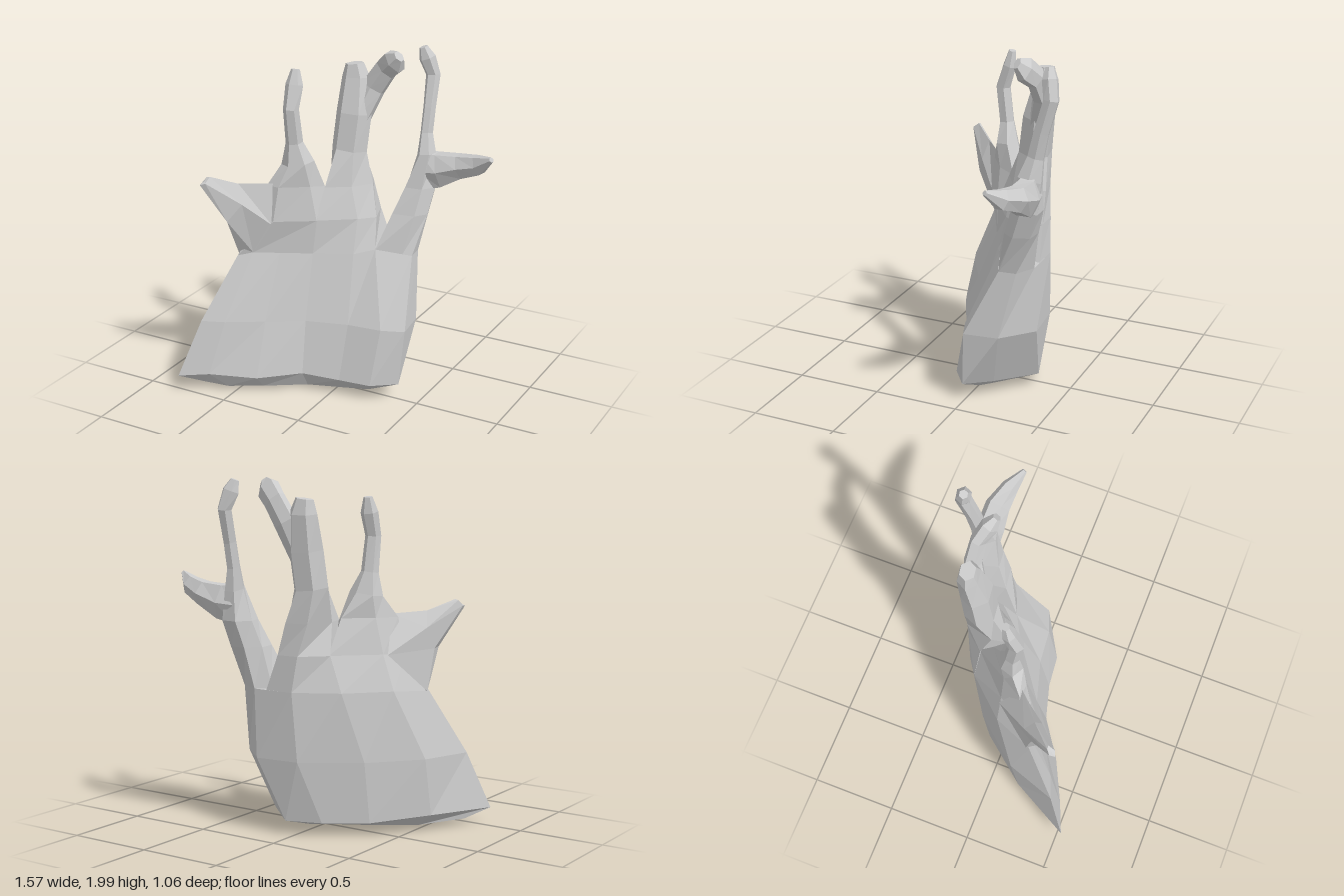
import * as THREE from 'three';

const material = new THREE.MeshStandardMaterial({ color: 0xcccccc, flatShading: true });

// Closed skin over rings of [x, y, z] points, counter-clockwise seen from the far end
function loft(name, rings) {
  const n = rings[0].length;
  const positions = rings.flat(2);
  const index = [];
  rings.slice(1).forEach((_, r) => {
    for (let i = 0; i < n; i++) {
      const a = r * n + i, b = r * n + (i + 1) % n;
      index.push(a, b, b + n, a, b + n, a + n);
    }
  });
  // End caps as fans around the ring centres
  [[0, true], [rings.length - 1, false]].forEach(([r, flip]) => {
    const centre = positions.length / 3;
    for (let k = 0; k < 3; k++) positions.push(rings[r].reduce((s, p) => s + p[k], 0) / n);
    for (let i = 0; i < n; i++) {
      const a = r * n + i, b = r * n + (i + 1) % n;
      index.push(centre, flip ? b : a, flip ? a : b);
    }
  });
  const indexed = new THREE.BufferGeometry();
  indexed.setAttribute('position', new THREE.Float32BufferAttribute(positions, 3));
  indexed.setIndex(index);
  const geometry = indexed.toNonIndexed();
  geometry.computeVertexNormals();
  const mesh = new THREE.Mesh(geometry, material);
  mesh.name = name;
  return mesh;
}

// Six-sided rings square to a path of stations [x, y, z, halfWidth, halfDepth]; hint is the width direction
function limbRings(stations, hint) {
  const points = stations.map(([x, y, z]) => new THREE.Vector3(x, y, z));
  const last = points.length - 1;
  return stations.map(([, , , w, d], i) => {
    const t = points[Math.min(i + 1, last)].clone().sub(points[Math.max(i - 1, 0)]).normalize();
    const wide = new THREE.Vector3(...hint);
    wide.addScaledVector(t, -wide.dot(t)).normalize();
    const deep = wide.clone().cross(t);
    return Array.from({ length: 6 }, (_, k) => {
      const a = (k / 6) * Math.PI * 2;
      return points[i].clone()
        .addScaledVector(wide, w * Math.cos(a))
        .addScaledVector(deep, -d * Math.sin(a)).toArray();
    });
  });
}

// Horizontal ring from [x, z] pairs, with an optional own height per point
const level = (y, pairs) => pairs.map(([x, z, own = y]) => [x, own, z]);

export function createModel() {
  const group = new THREE.Group();

  // Curved slab: front edge from left to right, then back again behind
  group.add(loft('trunk', [
    level(0.02, [[-0.68, 0.42, 0.04], [-0.55, 0.37], [-0.37, 0.27], [-0.15, 0.13], [0.06, 0.04, 0.01], [0.2, 0.03, 0.03],
      [0.25, -0.04, 0.04], [0.2, -0.09, 0.04], [0.06, -0.06, 0], [-0.08, -0.05, 0.02], [-0.28, 0.06], [-0.5, 0.22]]),
    level(0.1, [[-0.79, 0.53], [-0.62, 0.46, 0.12], [-0.37, 0.34], [-0.15, 0.19, 0.12], [0.06, 0.13], [0.25, 0.11],
      [0.385, 0.01], [0.26, -0.13, 0.09], [0.05, -0.32, 0.08], [-0.15, -0.25, 0.08], [-0.37, -0.1, 0.08], [-0.6, 0.18]]),
    level(0.43, [[-0.69, 0.42], [-0.56, 0.37], [-0.36, 0.25], [-0.16, 0.13], [0.08, 0.06], [0.28, 0.04],
      [0.41, -0.01], [0.385, -0.21], [0.21, -0.37], [-0.05, -0.345], [-0.36, -0.14], [-0.59, 0.13]]),
    level(0.82, [[-0.55, 0.23, 0.8], [-0.47, 0.19], [-0.33, 0.12], [-0.16, 0.04], [0.05, -0.06], [0.16, -0.12, 0.85],
      [0.355, -0.2], [0.345, -0.3], [0.23, -0.36], [-0.02, -0.355], [-0.26, -0.22], [-0.46, 0]]),
  ]));

  // Pointed spike at the outer end
  group.add(loft('sideSpike', [
    [[-0.47, 0.82, 0.19], [-0.36, 1.0, 0.16], [-0.37, 1.235, 0.12], [-0.42, 1.02, 0], [-0.55, 0.8, 0.21]],
    [[-0.55, 1.04, 0.33], [-0.48, 1.14, 0.28], [-0.52, 1.25, 0.25], [-0.55, 1.16, 0.2], [-0.57, 1.04, 0.25]],
    [[-0.665, 1.27, 0.42], [-0.635, 1.28, 0.41], [-0.63, 1.31, 0.37], [-0.65, 1.305, 0.37], [-0.67, 1.275, 0.39]],
  ]));

  // Branches: broad feet (right, back right, back left, left, front left, front right) that narrow to stems
  group.add(loft('leftBranch', [
    level(0.82, [[-0.12, -0.1], [-0.26, -0.22], [-0.46, 0], [-0.55, 0.23, 0.8], [-0.47, 0.19], [-0.16, 0.04]]),
    level(1.02, [[-0.12, -0.08], [-0.17, -0.215], [-0.39, 0], [-0.45, 0.14], [-0.35, 0.16], [-0.14, 0.03]]),
    level(1.22, [[-0.14, -0.07, 1.2], [-0.19, -0.12], [-0.34, 0], [-0.41, 0.12], [-0.33, 0.13], [-0.18, 0.03]]),
    ...limbRings([
      [-0.265, 1.35, 0.02, 0.095, 0.07], [-0.28, 1.47, 0.03, 0.05, 0.045], [-0.285, 1.67, 0.055, 0.045, 0.045],
      [-0.285, 1.8, 0.015, 0.05, 0.04], [-0.285, 1.885, 0, 0.025, 0.022],
    ], [0.92, 0, -0.38]),
  ]));

  group.add(loft('middleBranch', [
    level(0.82, [[0.16, -0.12, 0.85], [0.15, -0.357], [-0.02, -0.355], [-0.26, -0.22], [-0.16, 0.04], [0.05, -0.06]]),
    level(1.02, [[0.13, -0.19], [0.08, -0.345], [-0.05, -0.34], [-0.18, -0.21], [-0.15, 0.03], [0.05, -0.11]]),
    level(1.2, [[0.08, -0.24], [0.03, -0.34], [-0.1, -0.315], [-0.15, -0.15], [-0.13, -0.05], [0, -0.13]]),
    ...limbRings([
      [-0.07, 1.39, -0.235, 0.105, 0.095], [-0.055, 1.6, -0.26, 0.105, 0.09],
      [-0.06, 1.8, -0.295, 0.085, 0.065], [-0.07, 1.88, -0.295, 0.055, 0.045],
    ], [1, 0, -0.15]),
  ]));

  group.add(loft('rightBranch', [
    level(0.82, [[0.355, -0.2], [0.345, -0.3], [0.23, -0.36], [0.15, -0.3], [0.16, -0.12, 0.85], [0.3, -0.178]]),
    level(1.05, [[0.4, -0.3], [0.37, -0.39], [0.27, -0.4], [0.205, -0.32], [0.22, -0.21], [0.35, -0.23]]),
    level(1.2, [[0.42, -0.35], [0.39, -0.44], [0.3, -0.44], [0.245, -0.36], [0.27, -0.27], [0.37, -0.28]]),
    ...limbRings([
      [0.35, 1.38, -0.38, 0.055, 0.075], [0.335, 1.5, -0.405, 0.036, 0.05], [0.335, 1.64, -0.435, 0.036, 0.046],
      [0.33, 1.82, -0.485, 0.042, 0.045], [0.3, 1.92, -0.465, 0.05, 0.045], [0.28, 1.98, -0.455, 0.025, 0.025],
    ], [1, 0, -0.2]),
  ]));

  // Side shoots
  group.add(loft('middleTwig', limbRings([
    [-0.03, 1.57, -0.27, 0.06, 0.07], [0.04, 1.75, -0.315, 0.05, 0.075], [0.12, 1.865, -0.31, 0.045, 0.07],
    [0.19, 1.925, -0.275, 0.05, 0.075], [0.23, 1.965, -0.25, 0.025, 0.035],
  ], [0, 0, 1])));
  group.add(loft('rightTwig', limbRings([
    [0.33, 1.29, -0.37, 0.07, 0.13], [0.43, 1.3, -0.385, 0.08, 0.11], [0.56, 1.34, -0.39, 0.072, 0.075],
    [0.68, 1.375, -0.36, 0.05, 0.06], [0.775, 1.435, -0.31, 0.015, 0.015],
  ], [0, 0, 1])));

  return group;
}
